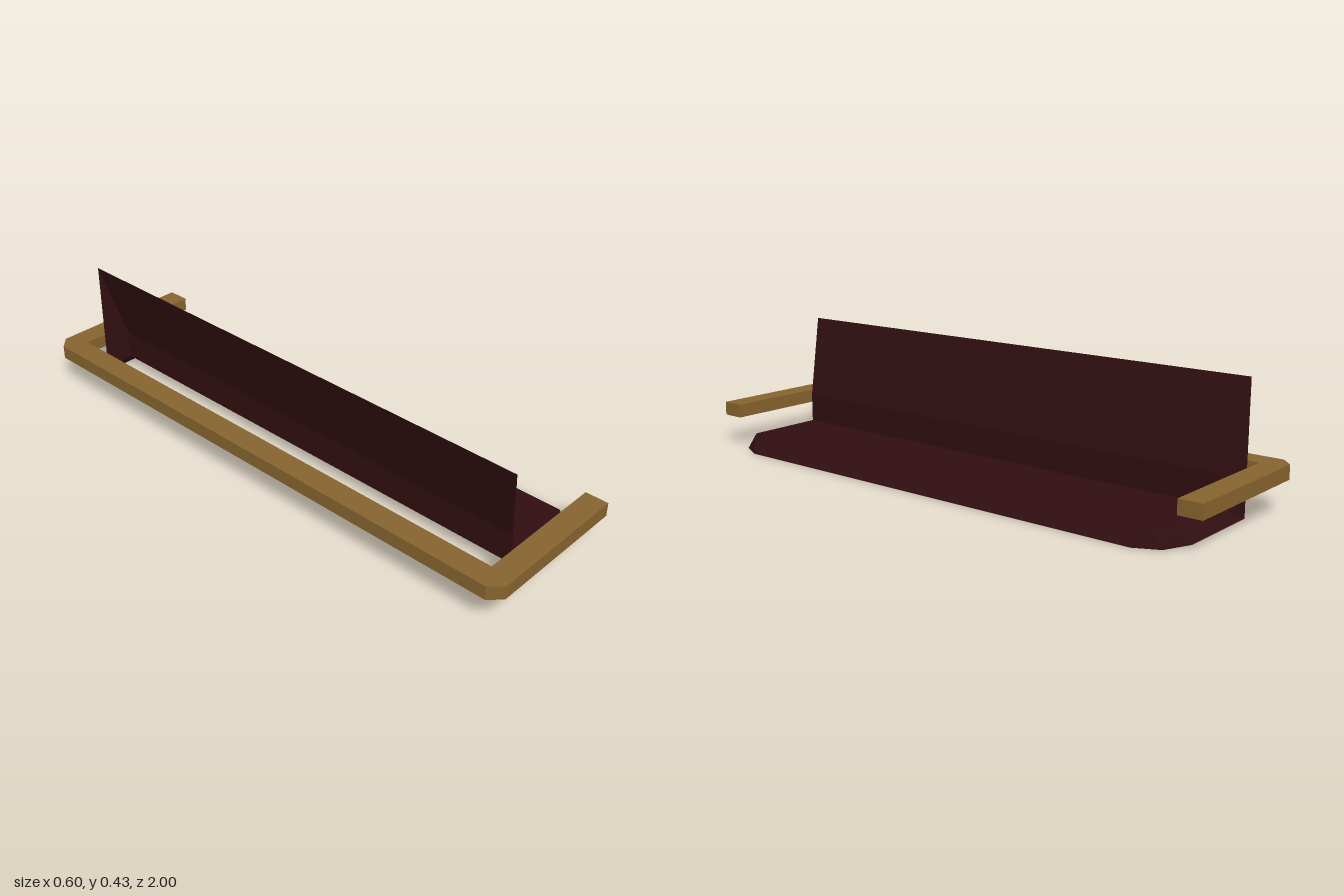
import * as THREE from 'three';

const upholstery = new THREE.MeshStandardMaterial({ color: 0x300e10, side: THREE.DoubleSide });
upholstery.name = 'dark red upholstery';
upholstery.flatShading = true;
const brass = new THREE.MeshStandardMaterial({ color: 0x86642e });
brass.name = 'brass';

// Open shell of seat and backrest: no back and no underside
function benchGeometry() {
  // outer rim, from the top of the backrest round to the front edge
  const R = [[-0.14, 0.433, 0.92], [-0.14, 0, 0.92], [0.17, 0, 0.92], [0.26, 0, 0.88], [0.3, 0, 0.8]];
  // raised inner edge
  const I = [[-0.06, 0.15, 0.88], [-0.06, 0.048, 0.88], [0.22, 0.048, 0.88], [0.26, 0.048, 0.84]];
  const pos = [];
  const mirror = ([x, y, z]) => [x, y, -z];
  const face = (...p) => {
    for (let i = 1; i < p.length - 1; i++) pos.push(...p[0], ...p[i], ...p[i + 1]);
  };

  // bevelled ends, mirrored front to back
  const ends = [
    [R[0], R[1], I[1], I[0]],
    [R[1], R[2], I[2], I[1]],
    [R[2], R[3], I[2]],
    [R[3], I[3], I[2]],
    [R[3], R[4], I[3]],
  ];
  for (const end of ends) {
    face(...end);
    face(...end.map(mirror).reverse());
  }

  // long strips: sloped back, upright, seat top, front bevel
  const path = [R[0], I[0], I[1], I[2], I[3], R[4]];
  for (let i = 0; i < path.length - 1; i++) {
    const a = path[i], b = path[i + 1];
    face(a, b, mirror(b), mirror(a));
  }

  const g = new THREE.BufferGeometry();
  g.setAttribute('position', new THREE.Float32BufferAttribute(pos, 3));
  g.computeVertexNormals();
  return g;
}

// U-shaped rail with chamfered outer corners
function railGeometry() {
  const half = [[0.26, 0.92], [0.26, 1], [-0.26, 1], [-0.3, 0.96]];
  const outline = [[-0.22, 0.92], ...half, ...half.map(([x, z]) => [x, -z]).reverse(), [-0.22, -0.92]];
  const shape = new THREE.Shape(outline.map(([x, z]) => new THREE.Vector2(x, z)));
  const g = new THREE.ExtrudeGeometry(shape, { depth: 0.048, bevelEnabled: false });
  g.rotateX(-Math.PI / 2);
  g.translate(0, 0.109, 0);
  return g;
}

export function createModel() {
  const model = new THREE.Group();
  model.name = 'bench';
  const seat = new THREE.Mesh(benchGeometry(), upholstery);
  seat.name = 'seatAndBackrest';
  const rail = new THREE.Mesh(railGeometry(), brass);
  rail.name = 'armAndBackRail';
  model.add(seat, rail);
  return model;
}
